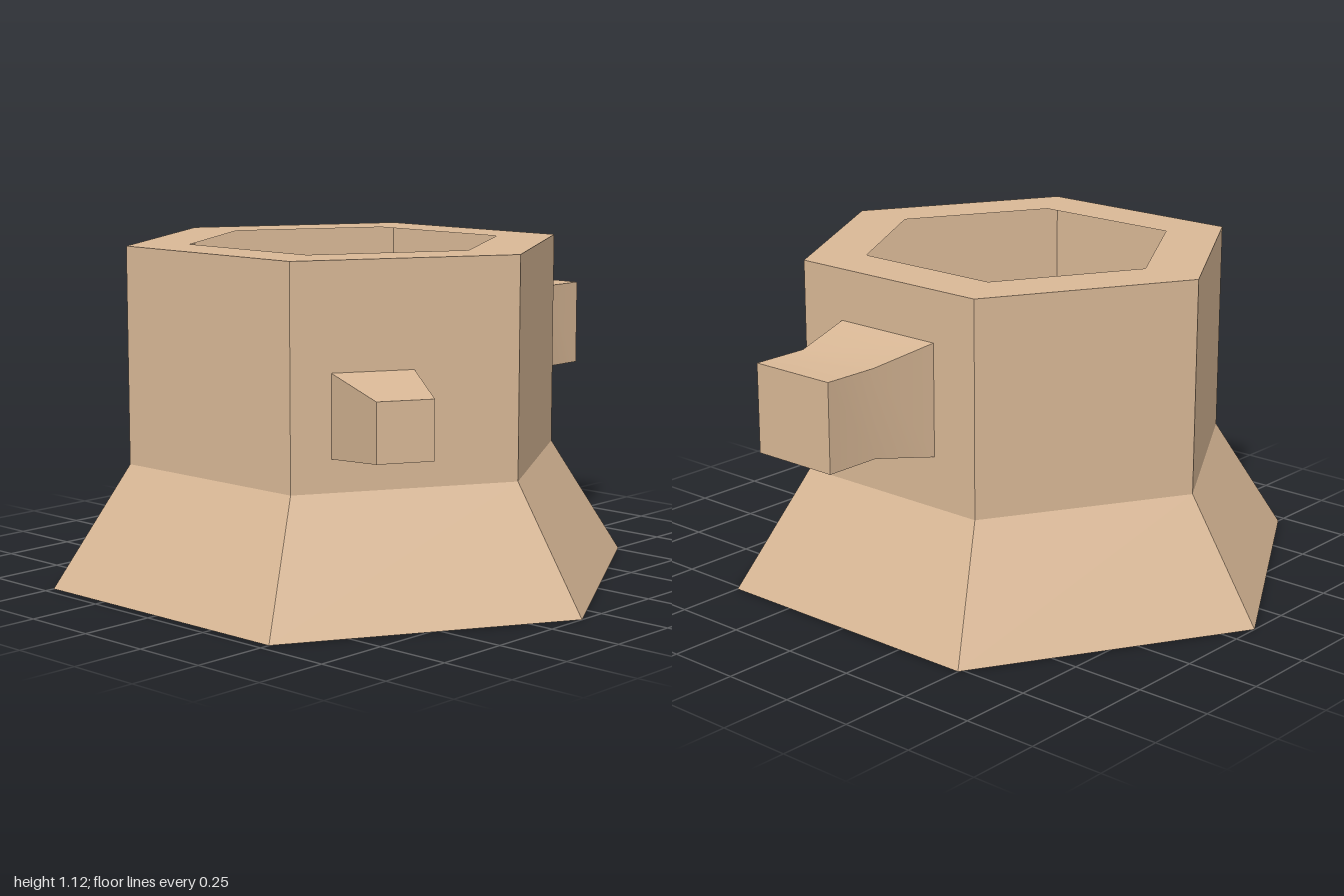
import * as THREE from 'three';
import { toCreasedNormals } from 'three/addons/utils/BufferGeometryUtils.js';

const TOP = 1.115, SHOULDER = 0.4;
const R_BASE = 1, R_BODY = 0.74, R_MOUTH = 0.53;
const APOTHEM = Math.cos(Math.PI / 6);

// Square cross-sections [halfWidth, halfHeight, z] joined into a tube along +z
function loft(sections, cx, cy, capEnd) {
  const corners = sections.map(([w, h, z]) =>
    [[-1, -1], [1, -1], [1, 1], [-1, 1]].map(([sx, sy]) => [cx + sx * w, cy + sy * h, z]));
  const pos = [];
  const quad = (a, b, c, d) => pos.push(...a, ...b, ...c, ...a, ...c, ...d);
  for (let i = 0; i < corners.length - 1; i++) {
    for (let j = 0; j < 4; j++) {
      const k = (j + 1) % 4;
      quad(corners[i][j], corners[i][k], corners[i + 1][k], corners[i + 1][j]);
    }
  }
  if (capEnd) quad(...corners[corners.length - 1]);
  const g = new THREE.BufferGeometry();
  g.setAttribute('position', new THREE.Float32BufferAttribute(pos, 3));
  return toCreasedNormals(g, 0.35);
}

export function createModel() {
  const model = new THREE.Group();
  model.name = 'hexagonalPot';
  const clay = new THREE.MeshStandardMaterial({ color: 0xd9b896, side: THREE.DoubleSide });
  clay.name = 'tan clay';

  const body = new THREE.Group();
  body.name = 'body';
  body.position.x = -0.1;
  model.add(body);
  const add = (parent, name, geometry) => {
    const mesh = new THREE.Mesh(geometry, clay);
    mesh.name = name;
    parent.add(mesh);
    return mesh;
  };

  // Pegs grow out of wall openings; z is measured from the body axis
  const wallZ = R_BODY * APOTHEM;
  const pegs = {
    0: { name: 'largePeg', cx: 0, cy: 0.757,
      sections: [[0.2, 0.187, wallZ], [0.155, 0.146, 0.86], [0.155, 0.146, 1.055]] },
    4: { name: 'smallPeg', cx: -0.107, cy: 0.638,
      sections: [[0.133, 0.133, wallZ], [0.09, 0.093, wallZ + 0.32]] },
  };

  // Six sides, each an upright wall above a sloping skirt
  for (let i = 0; i < 6; i++) {
    const side = new THREE.Group();
    side.name = 'side' + (i + 1);
    side.rotation.y = Math.PI / 2 + i * Math.PI / 3;
    body.add(side);

    const w = R_BODY / 2, b = R_BASE / 2;
    const wall = new THREE.Shape([[-w, SHOULDER], [w, SHOULDER], [w, TOP], [-w, TOP]]
      .map(([x, y]) => new THREE.Vector2(x, y)));
    const peg = pegs[i];
    if (peg) {
      const [hw, hh] = peg.sections[0];
      wall.holes.push(new THREE.Path([[-1, -1], [-1, 1], [1, 1], [1, -1]]
        .map(([sx, sy]) => new THREE.Vector2(peg.cx + sx * hw, peg.cy + sy * hh))));
      add(side, peg.name, loft(peg.sections, peg.cx, peg.cy, true));
    }
    add(side, 'wall', new THREE.ShapeGeometry(wall)).position.z = wallZ;

    const skirt = new THREE.BufferGeometry();
    skirt.setAttribute('position', new THREE.Float32BufferAttribute([
      -b, 0, R_BASE * APOTHEM, b, 0, R_BASE * APOTHEM,
      w, SHOULDER, wallZ, -w, SHOULDER, wallZ], 3));
    skirt.setIndex([0, 1, 2, 0, 2, 3]);
    skirt.computeVertexNormals();
    add(side, 'skirt', skirt);
  }

  // Flat rim around the open mouth, and the closed underside
  add(body, 'rim', new THREE.RingGeometry(R_MOUTH, R_BODY, 6, 1, Math.PI / 2).rotateX(-Math.PI / 2)).position.y = TOP;
  add(body, 'base', new THREE.CircleGeometry(R_BASE, 6, Math.PI / 2).rotateX(Math.PI / 2));

  return model;
}
